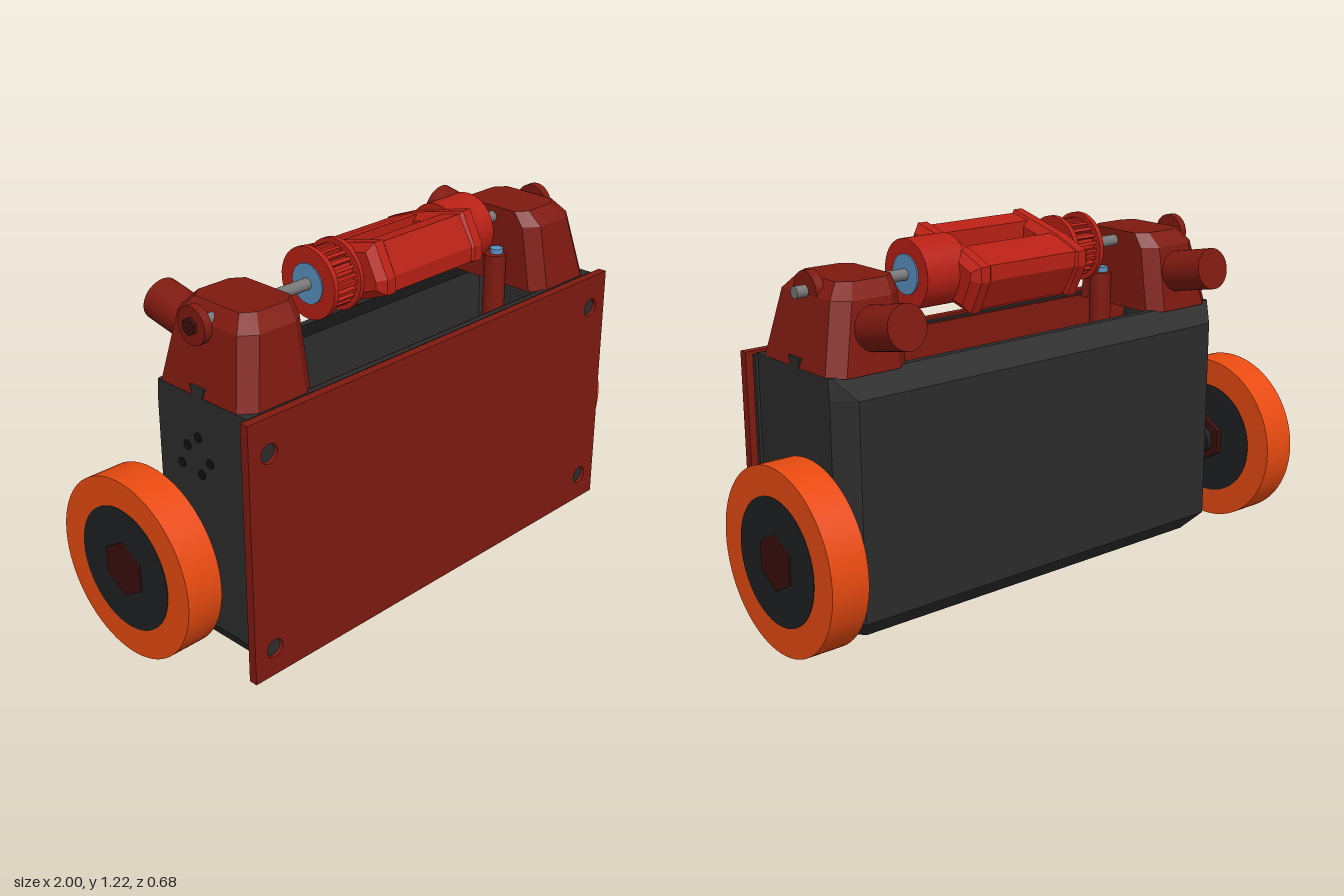
import * as THREE from 'three';

const RED = 0x7f1a10, DRUM = 0xb82015, TYRE = 0xe84a10, DARK = 0x2c2c2c;
const HUB = 0x1d2022, HEX = 0x380f0c, STEEL = 0x777777, BLUE = 0x5a90c0;

function part(parent, name, geometry, color, x = 0, y = 0, z = 0, flat = false) {
  const mesh = new THREE.Mesh(geometry, new THREE.MeshStandardMaterial({ color, flatShading: flat }));
  mesh.name = name;
  mesh.position.set(x, y, z);
  parent.add(mesh);
  return mesh;
}

const box = (w, h, d) => new THREE.BoxGeometry(w, h, d);
const cylX = (r, len, sides = 40) =>
  new THREE.CylinderGeometry(r, r, len, sides, 1, false, Math.PI / 6).rotateZ(Math.PI / 2);

// Plan outline with cut corners, counter-clockwise from above
function ring(y, x0, x1, z0, z1, bx, bz, fx = 0, fz = 0) {
  return [
    [x1 - fx, z1], [x1, z1 - fz], [x1, z0 + bz], [x1 - bx, z0],
    [x0 + bx, z0], [x0, z0 + bz], [x0, z1 - fz], [x0 + fx, z1],
  ].map(([x, z]) => [x, y, z]);
}

// Skin a stack of outlines and close both ends
function loft(rings) {
  const pos = [], n = rings[0].length, last = rings[rings.length - 1];
  for (let i = 0; i < rings.length - 1; i++) {
    for (let j = 0; j < n; j++) {
      const k = (j + 1) % n;
      const a = rings[i][j], b = rings[i][k], c = rings[i + 1][k], d = rings[i + 1][j];
      pos.push(...a, ...b, ...c, ...a, ...c, ...d);
    }
  }
  for (let j = 1; j < n - 1; j++) {
    pos.push(...last[0], ...last[j], ...last[j + 1]);
    pos.push(...rings[0][0], ...rings[0][j + 1], ...rings[0][j]);
  }
  const g = new THREE.BufferGeometry();
  g.setAttribute('position', new THREE.Float32BufferAttribute(pos, 3));
  g.computeVertexNormals();
  return g;
}

// Extrude a (z, y) outline along x, from x0 to x1
function extrudeX(points, x0, x1, bevel = 0) {
  const shape = new THREE.Shape(points.map(([z, y]) => new THREE.Vector2(-z, y)));
  const g = new THREE.ExtrudeGeometry(shape, {
    depth: x1 - x0 - 2 * bevel, bevelEnabled: bevel > 0, bevelSize: bevel,
    bevelThickness: bevel, bevelOffset: -bevel, bevelSegments: 1,
  });
  return g.rotateY(Math.PI / 2).translate(x0 + bevel, 0, 0);
}

function frontPlate(parent) {
  const shape = new THREE.Shape();
  shape.moveTo(-0.84, 0.005).lineTo(0.84, 0.005).lineTo(0.84, 0.88).lineTo(-0.84, 0.88).closePath();
  for (const x of [-0.76, 0.76]) for (const y of [0.1, 0.765]) {
    shape.holes.push(new THREE.Path().absarc(x, y, 0.032, 0, Math.PI * 2, true));
    part(parent, 'plateScrew', new THREE.CylinderGeometry(0.031, 0.031, 0.02, 24).rotateX(Math.PI / 2), DARK, x, y, 0.317);
  }
  const g = new THREE.ExtrudeGeometry(shape, { depth: 0.03, bevelEnabled: false, curveSegments: 16 });
  part(parent, 'frontPlate', g, RED, 0, 0, 0.31);
  part(parent, 'plateBacking', box(1.5, 0.76, 0.012), RED, 0, 0.49, 0.276);
}

function bodyShell(parent) {
  part(parent, 'bodyShell', loft([
    ring(0.03, -0.76, 0.76, -0.1, 0.3, 0.06, 0.065),
    ring(0.1, -0.805, 0.805, -0.165, 0.3, 0.06, 0.065),
    ring(0.81, -0.805, 0.805, -0.165, 0.3, 0.06, 0.065),
    ring(0.875, -0.805, 0.805, -0.1, 0.3, 0.01, 0.005),
    ring(0.875, -0.77, 0.77, -0.075, 0.28, 0.01, 0.005),
    ring(0.8, -0.77, 0.77, -0.13, 0.28, 0.05, 0.05),
    ring(0.08, -0.74, 0.74, -0.1, 0.28, 0.05, 0.05),
  ]), DARK, 0, 0, 0, true);
  part(parent, 'shellFlange', box(1.63, 0.84, 0.015), DARK, 0, 0.45, 0.303);
  // Vent holes on the right side wall
  for (const [z, y] of [[0.08, 0.74], [0.03, 0.7], [0.13, 0.67], [0.0, 0.63], [0.09, 0.62]])
    part(parent, 'ventHole', cylX(0.016, 0.004, 20), 0x111111, -0.806, y, z);
}

function wheel(parent, side, x) {
  const g = new THREE.Group();
  g.name = side > 0 ? 'leftWheel' : 'rightWheel';
  g.position.set(x, 0.33, -0.043);
  parent.add(g);
  part(g, 'tyre', cylX(0.297, 0.126, 72), TYRE);
  part(g, 'hub', cylX(0.203, 0.13, 56), HUB);
  part(g, 'outerHex', cylX(0.092, 0.02, 6), HEX, side * 0.06, 0, 0, true);
  part(g, 'innerHex', cylX(0.085, 0.03, 6), HEX, -side * 0.072, 0, 0, true);
  part(g, 'hubCollar', cylX(0.05, 0.03, 24), HUB, -side * 0.095);
  part(g, 'axle', cylX(0.022, 0.2, 20), STEEL, -side * 0.17);
}

// Bearing pod with slanted motor can, built for the left and mirrored
function pod(parent, side) {
  const g = new THREE.Group();
  g.name = side > 0 ? 'leftPod' : 'rightPod';
  g.scale.x = side;
  parent.add(g);
  part(g, 'podHousing', loft([
    ring(0.87, 0.515, 0.805, -0.12, 0.295, 0.05, 0.04, 0.05, 0.04),
    ring(1.09, 0.515, 0.757, -0.087, 0.255, 0.05, 0.04, 0.05, 0.04),
    ring(1.138, 0.515, 0.715, -0.045, 0.21, 0.04, 0.03, 0.04, 0.03),
  ]), RED, 0, 0, 0, true);
  part(g, 'dovetail', extrudeX([[0.065, 0.87], [0.105, 0.87], [0.118, 0.906], [0.052, 0.906]], 0.77, 0.806), DARK);
  const can = part(g, 'motorCan', new THREE.CylinderGeometry(0.07, 0.07, 0.28, 32), RED, 0.64, 1.008, -0.13);
  can.rotation.x = -Math.PI / 2 + 0.2;
  // Post beside the pod with a screw in its top
  part(g, 'post', new THREE.CylinderGeometry(0.038, 0.038, 0.28, 28), RED, 0.488, 0.845, 0.125);
  part(g, 'postBase', new THREE.CylinderGeometry(0.042, 0.042, 0.65, 28), DARK, 0.488, 0.4, 0.125);
  part(g, 'postScrew', new THREE.CylinderGeometry(0.022, 0.022, 0.02, 20), BLUE, 0.495, 0.992, 0.125);
  // Drive motor inside the shell
  part(g, 'driveMotor', cylX(0.05, 0.32, 28), 0xaaaaaa, 0.6, 0.33, -0.043);
}

function drum(parent) {
  const g = new THREE.Group();
  g.name = 'drum';
  g.position.set(0, 1.1, 0.085);
  parent.add(g);
  part(g, 'shaft', cylX(0.019, 1.6, 24), STEEL, 0.01);
  part(g, 'rightShaftKnob', cylX(0.06, 0.028, 32), RED, -0.785);
  part(g, 'leftShaftCollar', cylX(0.062, 0.03, 32), RED, 0.757);
  part(g, 'shaftNut', cylX(0.028, 0.02, 6), HEX, -0.8, 0, 0, true);

  // Window frame: two end blocks joined by two bars
  const half = [[0.135, 0.127], [0.19, 0.02], [0.19, -0.03], [0.09, -0.07]];
  const outline = [...half, ...half.map(([z, y]) => [-z, -y])];
  part(g, 'endBlock', extrudeX(outline, -0.215, -0.13, 0.025), DRUM);
  part(g, 'endBlock', extrudeX(outline, 0.19, 0.275, 0.025), DRUM);
  const bar = [[0.055, 0.1], [0.128, 0.117], [0.182, 0.02], [0.182, -0.03], [0.09, -0.066], [0.055, -0.073]];
  part(g, 'frontBar', extrudeX(bar, -0.16, 0.22), DRUM);
  part(g, 'backBar', extrudeX(bar.map(([z, y]) => [-z, -y]), -0.16, 0.22), DRUM);
  part(g, 'drumBarrel', cylX(0.113, 0.16), DRUM, 0.32);
  part(g, 'leftBearing', cylX(0.065, 0.01, 32), BLUE, 0.4);

  // Toothed pulley
  for (const x of [-0.331, -0.22]) part(g, 'pulleyRim', cylX(0.116, 0.018), DRUM, x);
  part(g, 'pulleyCore', cylX(0.085, 0.11), DRUM, -0.275);
  for (let i = 0; i < 24; i++) {
    const a = (i / 24) * Math.PI * 2;
    const tooth = part(g, 'pulleyTooth', box(0.1, 0.02, 0.012), DRUM, -0.275, Math.cos(a) * 0.09, Math.sin(a) * 0.09);
    tooth.rotation.x = a;
  }
  part(g, 'rightBearing', cylX(0.065, 0.01, 32), BLUE, -0.339);
}

// Small drive parts seen through the open top
function interior(parent) {
  part(parent, 'drumMotor', cylX(0.07, 0.14, 32), TYRE, -0.47, 0.68, 0.14);
  part(parent, 'drumMotorPulley', cylX(0.045, 0.06, 28), BLUE, -0.37, 0.68, 0.14);
  part(parent, 'drumMotorShaft', cylX(0.015, 0.12, 16), STEEL, -0.33, 0.68, 0.14);
}

export function createModel() {
  const model = new THREE.Group();
  model.name = 'drumRobot';
  const chassis = new THREE.Group();
  chassis.name = 'chassis';
  chassis.position.x = 0.015;
  model.add(chassis);
  frontPlate(chassis);
  bodyShell(chassis);
  interior(chassis);
  for (const side of [-1, 1]) pod(chassis, side);
  wheel(model, -1, -0.935);
  wheel(model, 1, 0.927);
  drum(model);
  return model;
}
